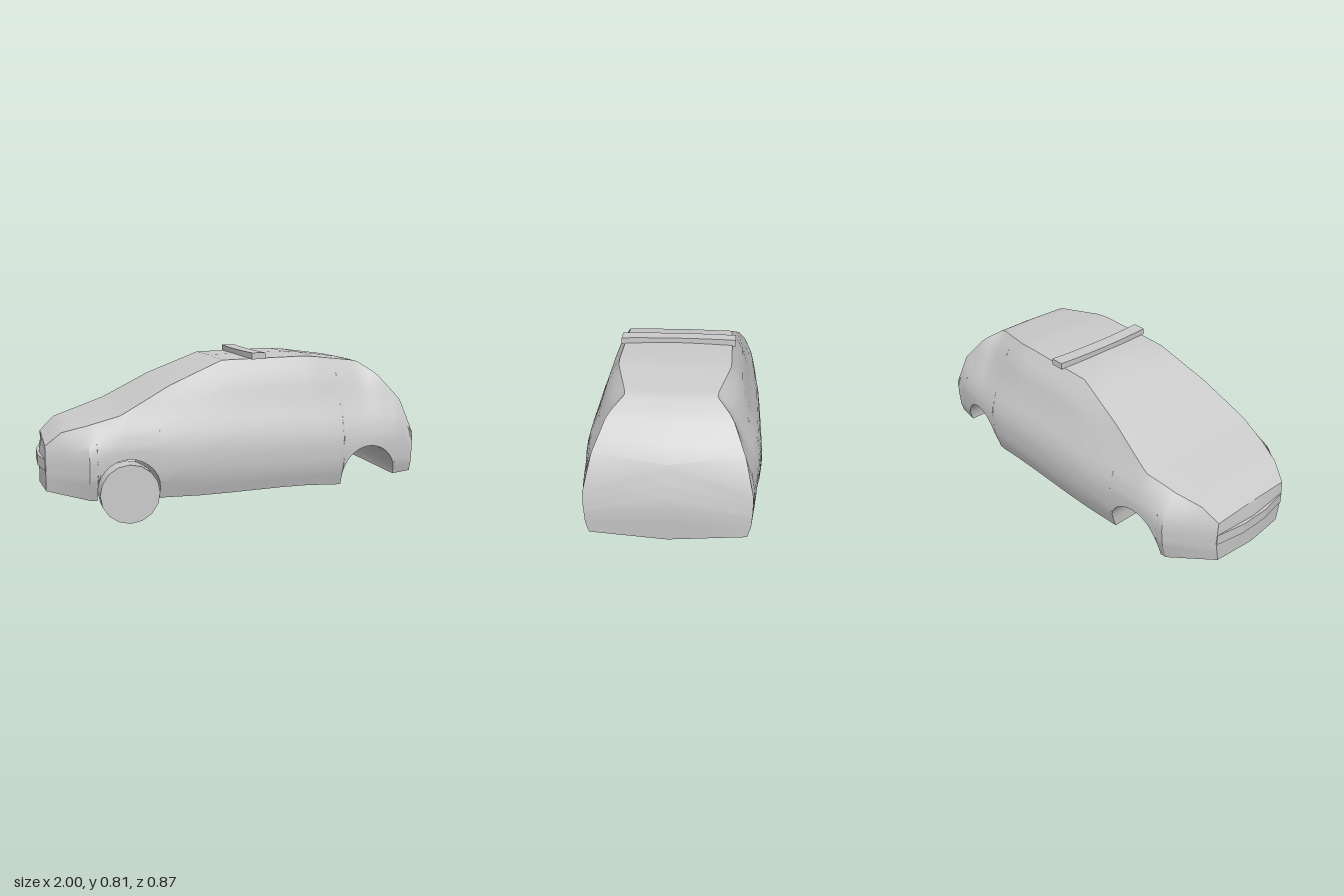
import * as THREE from 'three';
import { toCreasedNormals } from 'three/addons/utils/BufferGeometryUtils.js';

const material = new THREE.MeshStandardMaterial({ color: 0xcccccc });

// Linear interpolation in a table of [key, value, ...] rows
function lookup(table, k, col = 1) {
  if (k <= table[0][0]) return table[0][col];
  for (let i = 1; i < table.length; i++) {
    const a = table[i - 1], b = table[i];
    if (k <= b[0]) return a[col] + (b[col] - a[col]) * (k - a[0]) / (b[0] - a[0]);
  }
  return table[table.length - 1][col];
}

// Upper edge line: x, edge height, edge half width, centre height
const EDGE = [
  [-0.97, 0.37, 0.235, 0.375], [-0.89, 0.44, 0.27, 0.445], [-0.77, 0.475, 0.315, 0.482],
  [-0.61, 0.525, 0.355, 0.53], [-0.36, 0.66, 0.315, 0.667], [-0.08, 0.775, 0.272, 0.78],
  [0.1, 0.78, 0.275, 0.785], [0.35, 0.786, 0.275, 0.79], [0.42, 0.782, 0.272, 0.786],
  [0.68, 0.75, 0.21, 0.752], [0.77, 0.685, 0.285, 0.7], [0.88, 0.55, 0.345, 0.605],
  [0.94, 0.375, 0.385, 0.53],
];
// Plan half width along x, and its share at each height
const PLAN = [[-0.97, 0.24], [-0.77, 0.405], [-0.15, 0.435], [0.5, 0.435], [0.94, 0.385]];
const SHARE = [[0.11, 0.9], [0.22, 0.985], [0.3, 1], [0.37, 1], [0.44, 0.965], [0.55, 0.865], [0.685, 0.77], [0.79, 0.63]];
const SILL = [[-0.97, 0.14], [-0.74, 0.11], [-0.2, 0.11], [0.3, 0.13], [0.53, 0.12], [0.84, 0.155], [0.94, 0.165]];
const ARCHES = [{ x: -0.58, y: 0.165, r: 0.153 }, { x: 0.685, y: 0.168, r: 0.154 }];
// Centre profile of nose and tail: y, x
const NOSE = [[0.14, -0.99], [0.3, -0.99], [0.375, -0.97]];
const TAIL = [[0.165, 0.98], [0.3, 1], [0.37, 1], [0.45, 0.975], [0.53, 0.94]];
const ROWS = 14;

function halfWidth(x, y) {
  const ye = lookup(EDGE, x), W = lookup(PLAN, x);
  const pull = W * lookup(SHARE, ye) - lookup(EDGE, x, 2);
  const t = Math.max(0, (y - 0.3) / (ye - 0.3));
  return W * lookup(SHARE, y) - pull * t * t;
}

// One cross-section: side points from the bottom to the upper edge, plus centre points
function section(x, bottom) {
  const ye = lookup(EDGE, x), side = [];
  for (let i = 0; i <= ROWS; i++) {
    const y = bottom + (ye - bottom) * i / ROWS;
    side.push([x, y, halfWidth(x, y)]);
  }
  return { x, side, top: [x, lookup(EDGE, x, 3), 0], floor: [x, bottom, 0] };
}

function bodyGeometry() {
  const pos = [];
  // Every triangle is mirrored across the centre plane
  const tri = (a, b, c) => {
    pos.push(...a, ...b, ...c);
    for (const p of [c, b, a]) pos.push(p[0], p[1], -p[2]);
  };
  const quad = (a, b, c, d) => { tri(a, b, c); tri(a, c, d); };

  // Stations outside the arches, then the arches themselves
  const xs = [...EDGE.map(e => e[0]), -0.93, -0.83, -0.22, 0.22, 0.5];
  const stations = xs
    .filter(x => ARCHES.every(a => Math.abs(x - a.x) > a.r))
    .map(x => section(x, lookup(SILL, x)));
  for (const a of ARCHES) {
    const arch = [];
    for (let i = 0; i <= 14; i++) {
      const t = Math.PI * (1 - i / 14);
      arch.push(section(a.x + a.r * Math.cos(t), a.y + a.r * Math.sin(t)));
    }
    const x0 = a.x - a.r, x1 = a.x + a.r;
    arch.unshift(section(x0, lookup(SILL, x0)));
    arch.push(section(x1, lookup(SILL, x1)));
    const at = stations.sort((p, q) => p.x - q.x).findIndex(s => s.x > a.x);
    stations.splice(at, 0, ...arch);
  }

  for (let s = 1; s < stations.length; s++) {
    const p = stations[s - 1], q = stations[s];
    quad(p.floor, q.floor, q.side[0], p.side[0]);
    if (q.x - p.x < 1e-6) continue; // upright wall of an arch
    for (let i = 0; i < ROWS; i++) quad(p.side[i], q.side[i], q.side[i + 1], p.side[i + 1]);
    quad(p.side[ROWS], q.side[ROWS], q.top, p.top);
  }

  // Nose and tail panels
  const cap = (st, table, rear) => {
    const y0 = table[0][0], y1 = table[table.length - 1][0], mid = [];
    for (let i = 0; i <= ROWS; i++) {
      const y = y0 + (y1 - y0) * i / ROWS;
      mid.push([lookup(table, y), y, 0]);
    }
    for (let i = 0; i < ROWS; i++) {
      const e = st.side;
      if (rear) quad(e[i], mid[i], mid[i + 1], e[i + 1]);
      else quad(mid[i], e[i], e[i + 1], mid[i + 1]);
    }
    if (rear) tri(st.floor, mid[0], st.side[0]);
    else tri(mid[0], st.floor, st.side[0]);
  };
  cap(stations[0], NOSE, false);
  cap(stations[stations.length - 1], TAIL, true);

  const geo = new THREE.BufferGeometry();
  geo.setAttribute('position', new THREE.Float32BufferAttribute(pos, 3));
  return toCreasedNormals(geo, 0.5);
}

// Plan outline of [x, z] points raised from y0 to y1
function slab(points, y0, y1) {
  const shape = new THREE.Shape(points.map(([x, z]) => new THREE.Vector2(x, -z)));
  const geo = new THREE.ExtrudeGeometry(shape, { depth: y1 - y0, bevelEnabled: false });
  return geo.rotateX(-Math.PI / 2).translate(0, y0, 0);
}

export function createModel() {
  const car = new THREE.Group();
  car.name = 'car';
  const add = (name, geo) => {
    const mesh = new THREE.Mesh(geo, material);
    mesh.name = name;
    car.add(mesh);
    return mesh;
  };

  add('body', bodyGeometry());

  // Single front wheel
  const wheel = new THREE.CylinderGeometry(0.147, 0.147, 0.105, 16).rotateX(Math.PI / 2);
  add('frontWheel', toCreasedNormals(wheel, 0.5)).position.set(-0.58, 0.147, 0.372);

  // Strip across the nose
  add('bumperStrip', slab([
    [-0.972, 0.24], [-1, 0.08], [-1, -0.08], [-0.972, -0.24], [-0.955, -0.24], [-0.955, 0.24],
  ], 0.245, 0.3));

  // Slightly bowed bar across the roof
  const front = [], back = [];
  for (let i = 0; i <= 10; i++) {
    const z = -0.292 + 0.584 * i / 10, bow = 0.013 * (1 - (z / 0.292) ** 2);
    front.push([0.073 - bow, z]);
    back.unshift([0.145 - bow, z]);
  }
  add('roofBar', slab([...front, ...back], 0.777, 0.81));

  return car;
}
